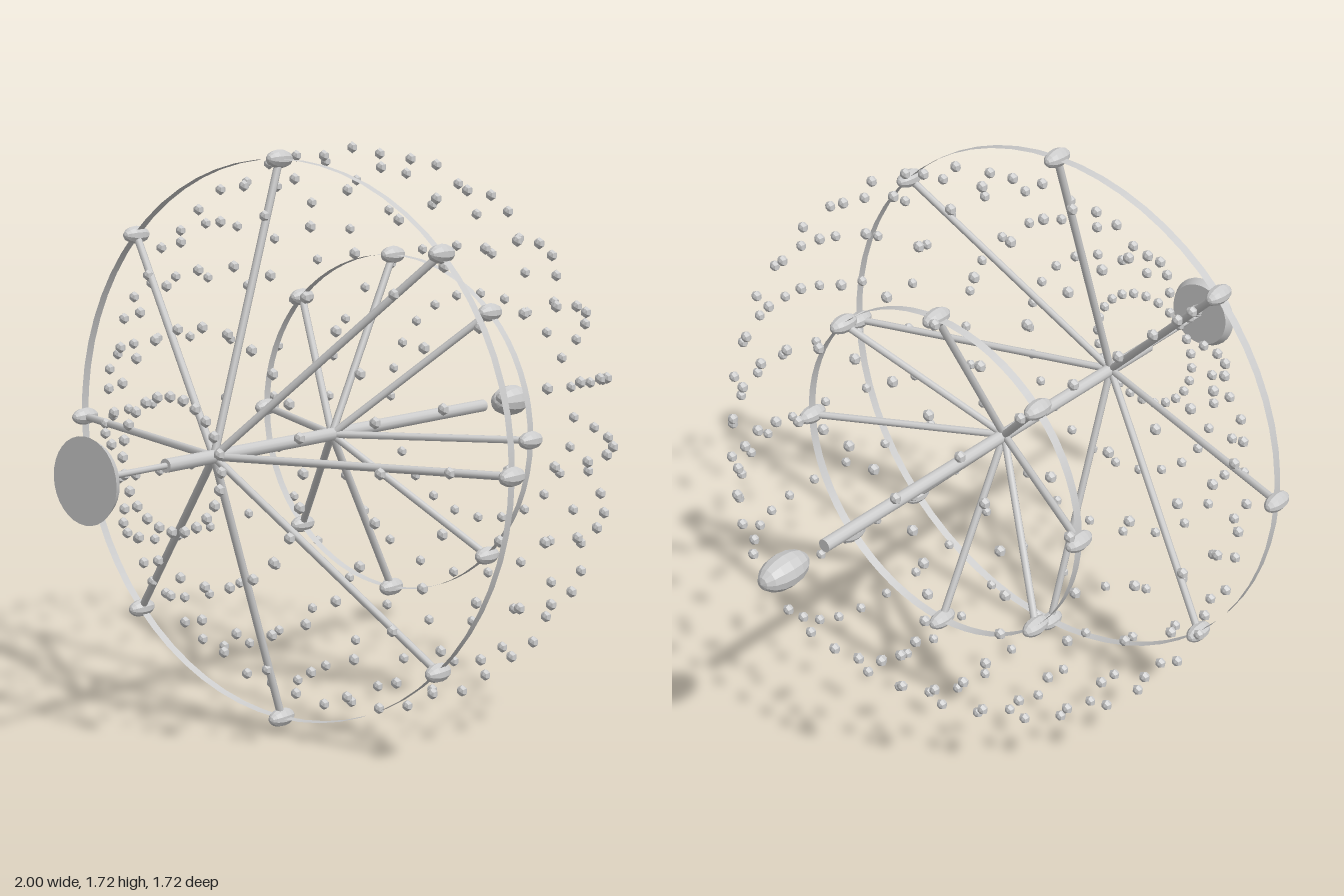
import * as THREE from 'three';

const AXIS_Y = 0.86;

export function createModel() {
  const model = new THREE.Group();
  const craft = new THREE.Group();
  craft.name = 'antennaArray';
  craft.position.y = AXIS_Y;
  model.add(craft);

  // One light grey, in smooth, faceted and two-sided versions
  const grey = new THREE.MeshStandardMaterial({ color: 0xcccccc });
  grey.name = 'light grey';
  const greyFlat = new THREE.MeshStandardMaterial({ color: 0xcccccc, flatShading: true });
  greyFlat.name = 'light grey faceted';
  const greyThin = new THREE.MeshStandardMaterial({ color: 0xcccccc, side: THREE.DoubleSide });
  greyThin.name = 'light grey thin';

  function add(name, geometry, material, parent = craft) {
    const mesh = new THREE.Mesh(geometry, material);
    mesh.name = name;
    parent.add(mesh);
    return mesh;
  }

  // Cylinder along x, from x0 (radius r0) to x1 (radius r1)
  function axial(name, x0, x1, r0, r1, sides, material = grey, open = false) {
    const g = new THREE.CylinderGeometry(r1, r0, x1 - x0, sides, 1, open);
    g.rotateZ(-Math.PI / 2);
    g.translate((x0 + x1) / 2, 0, 0);
    return add(name, g, material);
  }

  // Ellipsoid with its poles on x
  function ellipsoid(halfLength, radius, sides, rows) {
    const g = new THREE.SphereGeometry(1, sides, rows);
    g.rotateZ(-Math.PI / 2);
    return g.scale(halfLength, radius, radius);
  }

  // Strut between two points
  function strut(name, a, b, radius, parent) {
    const dir = b.clone().sub(a);
    const mesh = add(name, new THREE.CylinderGeometry(radius, radius, dir.length(), 8), grey, parent);
    mesh.position.copy(a).add(b).multiplyScalar(0.5);
    mesh.quaternion.setFromUnitVectors(new THREE.Vector3(0, 1, 0), dir.normalize());
  }

  const radial = (x, r, a) => new THREE.Vector3(x, r * Math.cos(a), r * Math.sin(a));

  // Central boom, tail rod, rear dish and nose pod
  axial('boom', -0.7, 0.76, 0.02, 0.02, 12);
  axial('tailRod', -0.98, -0.7, 0.009, 0.009, 8);
  axial('rearDish', -1, -0.975, 0.119, 0.105, 32);
  add('nosePod', ellipsoid(0.086, 0.05, 12, 8), greyFlat).position.x = 0.914;

  // Two hoops, each on eight struts from a point on the boom
  const nodeGeometry = ellipsoid(0.05, 0.027, 10, 8);
  for (const [name, apex, x, r] of [['rear', -0.508, -0.228, 0.817], ['front', 0.002, 0.289, 0.516]]) {
    axial(name + 'Hoop', x - 0.014, x + 0.014, r, r, 64, greyThin, true);
    const spokes = new THREE.Group();
    spokes.name = name + 'Spokes';
    craft.add(spokes);
    for (let i = 0; i < 8; i++) {
      const tip = radial(x, r, i * Math.PI / 4);
      strut(name + 'Spoke', new THREE.Vector3(apex, 0, 0), tip, 0.0115, spokes);
      add(name + 'Node', nodeGeometry, greyFlat, spokes).position.copy(tip);
    }
  }

  // Shell of small beads: twelve rings of twenty-four
  const beads = new THREE.Group();
  beads.name = 'beadShell';
  craft.add(beads);
  const beadGeometry = ellipsoid(0.014, 0.0175, 6, 4);
  for (let i = 1; i <= 12; i++) {
    const r = 0.8425 * Math.sin(i * Math.PI / 14);
    for (let j = 0; j < 24; j++) {
      add('bead', beadGeometry, greyFlat, beads)
        .position.copy(radial(-0.808 + 0.129 * i, r, j * Math.PI / 12));
    }
  }

  return model;
}
